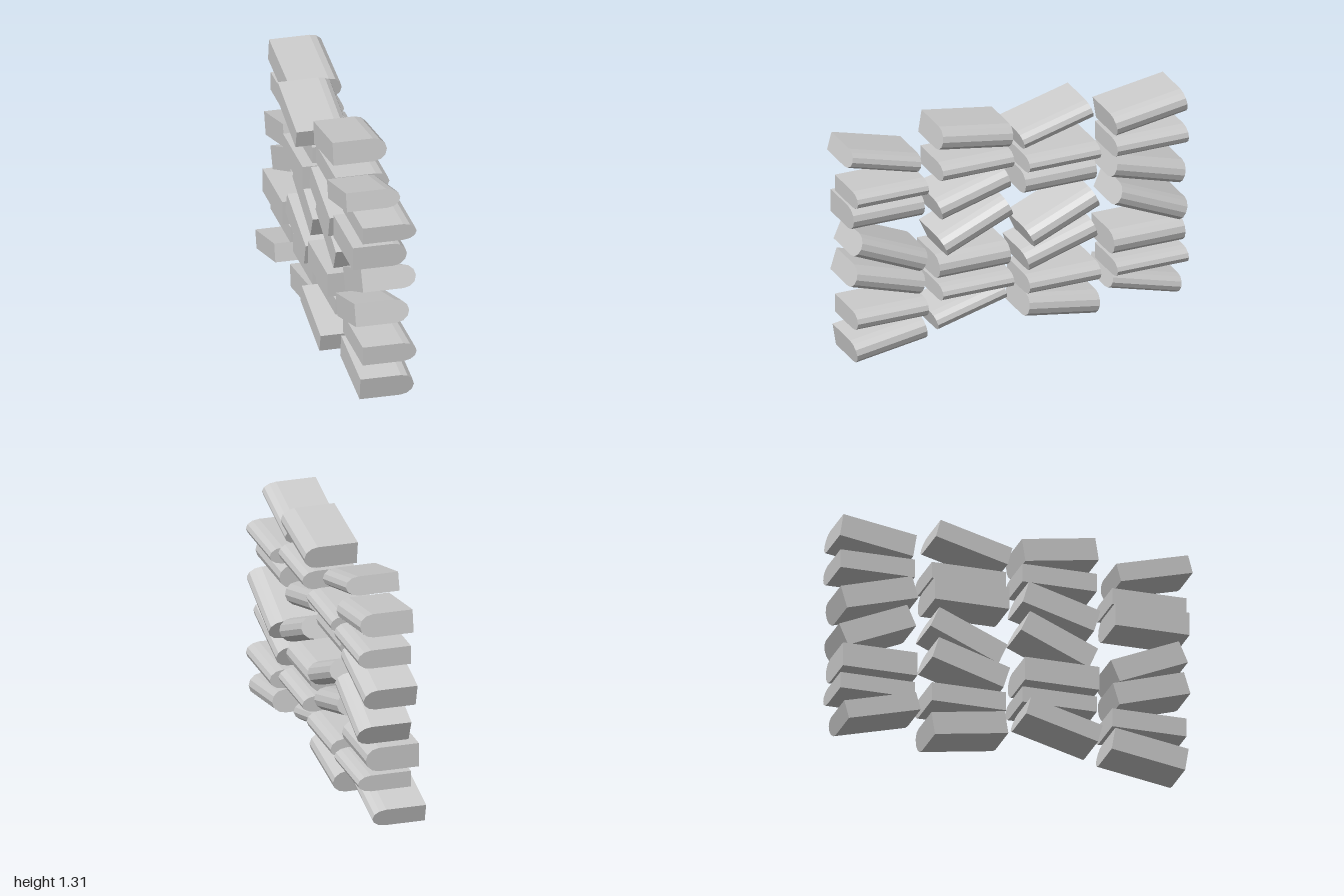
import * as THREE from 'three';

const WIDTH = 0.303, LENGTH = 0.425, NOSE = 0.075, SIDES = 6;

// Slab with a square edge at x = 0 and a faceted round edge at x = WIDTH
function slabGeometry(thickness) {
  const h = thickness / 2;
  const shape = new THREE.Shape();
  shape.moveTo(0, -h);
  for (let i = 0; i <= SIDES; i++) {
    const a = -Math.PI / 2 + (Math.PI * i) / SIDES;
    shape.lineTo(WIDTH - NOSE + NOSE * Math.cos(a), h * Math.sin(a));
  }
  shape.lineTo(0, h);
  shape.closePath();
  const geometry = new THREE.ExtrudeGeometry(shape, { depth: LENGTH, bevelEnabled: false });
  return geometry.translate(0, 0, -LENGTH / 2);
}

// Each slab, bottom to top: [square edge x, centre y, thickness, tilt in degrees]
const stackA = [
  [-0.115, 0.105, 0.13, 9],
  [-0.10, 0.27, 0.108, 0],
  [-0.14, 0.457, 0.128, -17],
  [-0.10, 0.637, 0.13, -23.5],
  [-0.155, 0.867, 0.133, 0],
  [-0.10, 0.998, 0.095, 0],
  [-0.19, 1.155, 0.105, -15],
];
const stackB = [
  [-0.19, 0.109, 0.105, -15],
  [-0.105, 0.268, 0.092, 0],
  [-0.15, 0.403, 0.137, 0],
  [-0.105, 0.628, 0.13, -23.5],
  [-0.14, 0.81, 0.13, -16],
  [-0.105, 0.997, 0.106, 0],
  [-0.118, 1.16, 0.13, 9],
];

// Four stacks: the inner two repeat the outer two with the tilts reversed
const columns = [
  { name: 'frontStack', slabs: stackA, z: 0.78, dx: 0, dy: 0, flip: 1 },
  { name: 'frontMiddleStack', slabs: stackB, z: 0.26, dx: -0.014, dy: 0.058, flip: -1 },
  { name: 'backMiddleStack', slabs: stackA, z: -0.257, dx: -0.015, dy: 0, flip: -1 },
  { name: 'backStack', slabs: stackB, z: -0.777, dx: 0, dy: 0, flip: 1 },
];

export function createModel() {
  const model = new THREE.Group();
  model.name = 'slabStacks';
  const material = new THREE.MeshStandardMaterial({ color: 0xcccccc, flatShading: true });

  for (const { name, slabs, z, dx, dy, flip } of columns) {
    const stack = new THREE.Group();
    stack.name = name;
    stack.position.set(dx, dy, z);
    slabs.forEach(([x, y, thickness, tilt], i) => {
      const slab = new THREE.Mesh(slabGeometry(thickness), material);
      slab.name = `slab${i + 1}`;
      slab.position.set(x, y, 0);
      slab.rotation.x = THREE.MathUtils.degToRad(tilt * flip);
      stack.add(slab);
    });
    model.add(stack);
  }
  return model;
}
